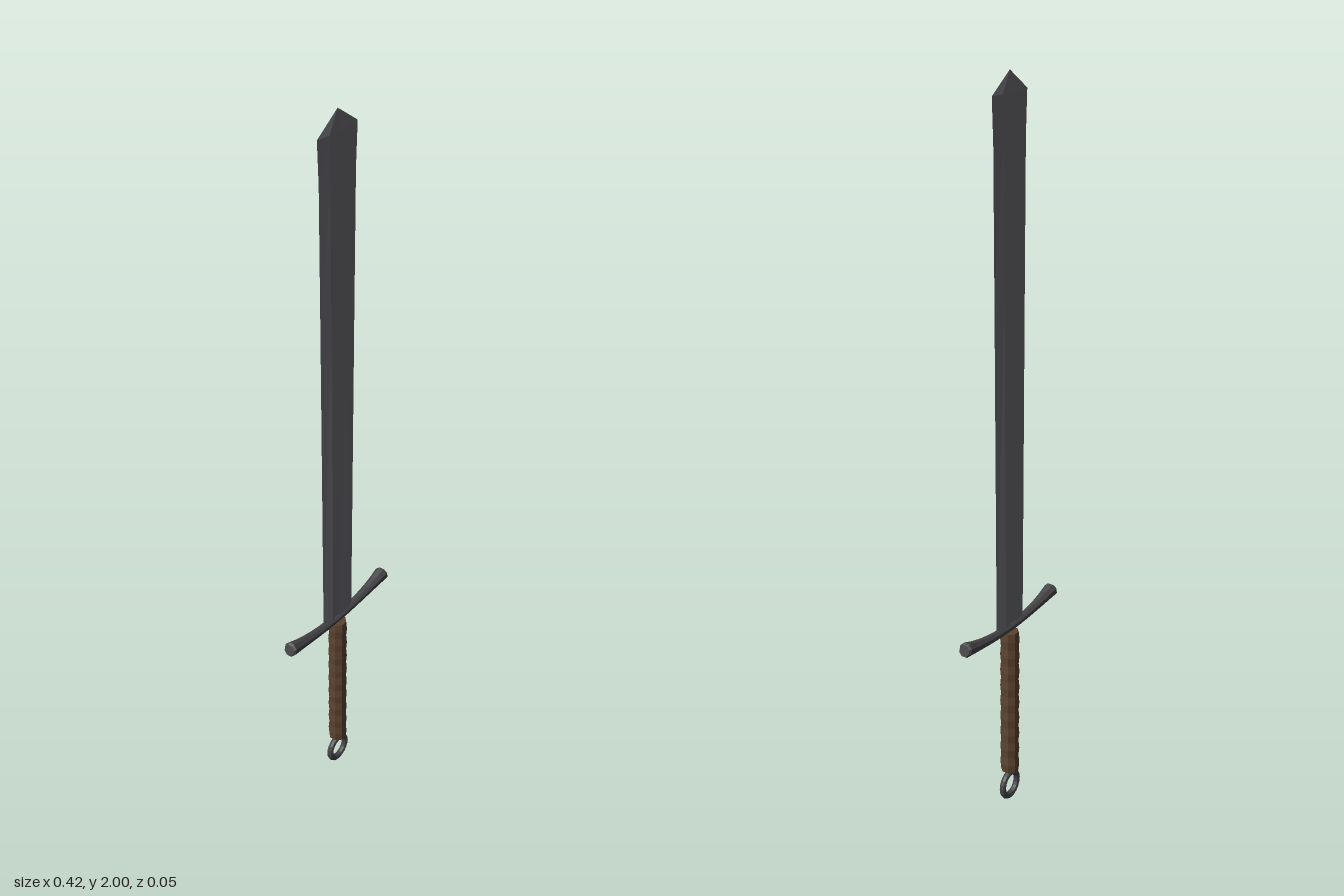
import * as THREE from 'three';

const material = (color) => new THREE.MeshStandardMaterial({ color, flatShading: true });

// Joins equal-length rings of points (counter-clockwise around the sweep axis) into a capped solid.
function loft(rings) {
  const n = rings[0].length, index = [];
  for (let r = 0; r < rings.length - 1; r++) {
    for (let i = 0; i < n; i++) {
      const a = r * n + i, b = r * n + (i + 1) % n;
      index.push(a, b, b + n, a, b + n, a + n);
    }
  }
  const last = (rings.length - 1) * n;
  for (let i = 1; i < n - 1; i++) {
    index.push(0, i + 1, i, last, last + i, last + i + 1);
  }
  const geometry = new THREE.BufferGeometry();
  geometry.setAttribute('position', new THREE.Float32BufferAttribute(rings.flat(2), 3));
  geometry.setIndex(index);
  geometry.computeVertexNormals();
  return geometry;
}

// Blade: sharp edges, a ridge either side and a shallow fuller down the middle
function bladeGeometry() {
  const section = (y, w, t, fuller) => [
    [w, 0], [w * 0.5, -t], [0, -fuller], [-w * 0.5, -t],
    [-w, 0], [-w * 0.5, t], [0, fuller], [w * 0.5, t],
  ].map(([x, z]) => [x, y, z]);
  return loft([
    section(0.56, 0.061, 0.009, 0.005),
    section(1.48, 0.065, 0.007, 0.004),
    section(1.84, 0.067, 0.006, 0.004),
    section(1.95, 0.072, 0.006, 0.005),
    section(2.0, 0.001, 0.0005, 0.0005),
  ]);
}

// Crossguard: an upward-curving bar that flares towards its ends
function guardGeometry() {
  const sides = 8, steps = 12, rings = [];
  const ring = (u, scale, extra = 0) => {
    const slope = Math.atan(0.27 * u);
    const radius = (0.012 + 0.008 * Math.abs(u) ** 3) * scale;
    const x = 0.2 * u + extra, y = 0.547 + 0.025 * u * u;
    return Array.from({ length: sides }, (_, i) => {
      const a = (i + 0.5) / sides * Math.PI * 2;
      const up = Math.cos(a) * radius;
      return [x - up * Math.sin(slope), y + up * Math.cos(slope), Math.sin(a) * radius];
    });
  };
  rings.push(ring(-1, 0.8, -0.006));
  for (let i = 0; i <= steps; i++) rings.push(ring(i / steps * 2 - 1, 1));
  rings.push(ring(1, 0.8, 0.006));
  return loft(rings);
}

// Grip: octagonal handle with shallow wrapped ridges
function gripGeometry() {
  const bottom = 0.095, top = 0.535, wraps = 9;
  const profile = [new THREE.Vector2(0, bottom)];
  for (let i = 0; i <= wraps * 2; i++) {
    const radius = i % 2 ? 0.0268 : 0.0245;
    profile.push(new THREE.Vector2(radius, bottom + (top - bottom) * i / (wraps * 2)));
  }
  profile.push(new THREE.Vector2(0, top));
  return new THREE.LatheGeometry(profile, 8, Math.PI / 8);
}

export function createModel() {
  const model = new THREE.Group();
  model.name = 'sword';
  const add = (name, geometry, mat) => {
    const mesh = new THREE.Mesh(geometry, mat);
    mesh.name = name;
    model.add(mesh);
    return mesh;
  };
  const darkSteel = material(0x454548);

  add('blade', bladeGeometry(), material(0x68676e));
  add('crossguard', guardGeometry(), darkSteel);
  add('grip', gripGeometry(), material(0x5c422f));

  // Ring pommel
  const pommel = add('pommelRing', new THREE.TorusGeometry(0.034, 0.009, 8, 20), darkSteel);
  pommel.position.y = 0.046;
  pommel.scale.set(1, 1.07, 1);
  return model;
}
